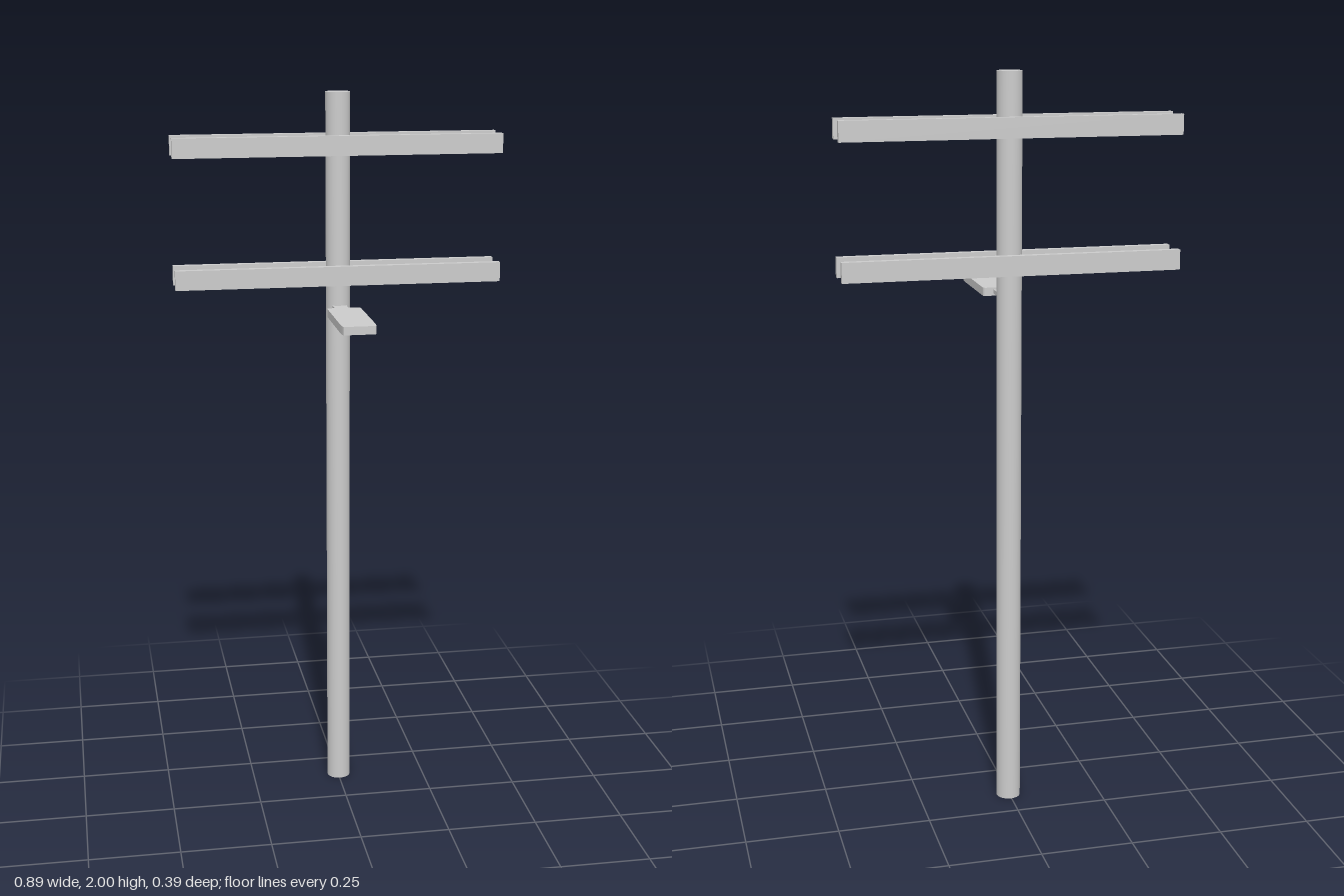
import * as THREE from 'three';

export function createModel() {
  const model = new THREE.Group();
  const material = new THREE.MeshStandardMaterial({ color: 0xcccccc });
  const add = (name, geometry, x, y, z) => {
    const mesh = new THREE.Mesh(geometry, material);
    mesh.name = name;
    mesh.position.set(x, y, z);
    model.add(mesh);
    return mesh;
  };
  const poleX = 0.002, poleZ = -0.146, poleRadius = 0.033;

  // Upright pole
  add('pole', new THREE.CylinderGeometry(poleRadius, poleRadius, 2, 32), poleX, 1, poleZ);

  // Paired crossarms, one in front of and one behind the pole
  for (const [level, y] of [['upper', 1.861], ['lower', 1.511]]) {
    for (const [side, z] of [['Front', -0.104], ['Back', -0.189]]) {
      add(`${level}${side}Crossarm`, new THREE.BoxGeometry(0.894, 0.053, 0.018), 0, y, z);
    }
  }

  // Flat bracket from the pole into the lamp
  add('lampBracket', new THREE.BoxGeometry(0.038, 0.011, 0.09), poleX, 1.421, -0.085);

  // Lamp head: a flat plate with rounded corners, its outline drawn in x and -z
  const w = 0.046, back = 0.055, front = -0.196, r = 0.009;
  const outline = new THREE.Shape();
  outline.moveTo(-w + 0.005, front);
  outline.lineTo(w - 0.005, front);
  outline.quadraticCurveTo(w - 0.002, front, w - 0.001, front + 0.012);
  outline.lineTo(w, front + 0.03);
  outline.lineTo(w, back - r);
  outline.quadraticCurveTo(w, back, w - r, back);
  outline.lineTo(-w + r, back);
  outline.quadraticCurveTo(-w, back, -w, back - r);
  outline.lineTo(-w, front + 0.03);
  outline.lineTo(-w + 0.001, front + 0.012);
  outline.quadraticCurveTo(-w + 0.002, front, -w + 0.005, front);
  const plate = new THREE.ExtrudeGeometry(outline, { depth: 0.022, bevelEnabled: false, curveSegments: 5 });
  plate.rotateX(-Math.PI / 2);
  add('lampHead', plate, 0.003, 1.41, 0);

  return model;
}
